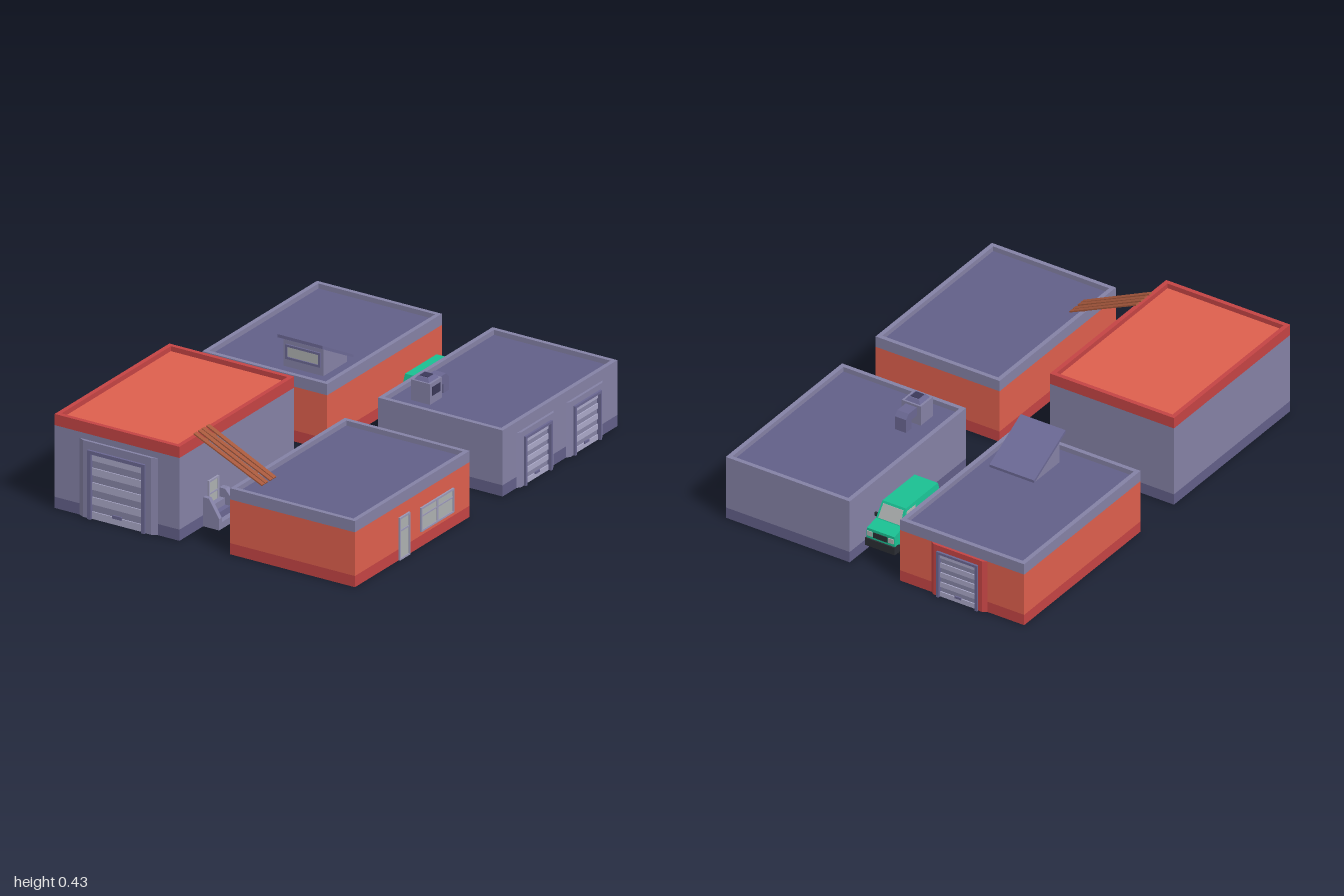
import * as THREE from 'three';

const mats = {};
const mat = (c) => (mats[c] ??= new THREE.MeshStandardMaterial({ color: c, flatShading: true }));
const WALL = 0x8481a5, DARK = 0x625f88, ORANGE = 0xdd5f4d, RED = 0xc44444, FRAME = 0x6a6792,
  SLAT = 0xaaa8c8, GLASS = 0xadb0b0, PLANK = 0xa6583c, GREEN = 0x1abf92, BLACK = 0x2b2d33;

function add(parent, name, geo, color, x = 0, y = 0, z = 0) {
  const m = new THREE.Mesh(geo, mat(color));
  m.name = name;
  m.position.set(x, y, z);
  parent.add(m);
  return m;
}
// box given by its min and max corners
function box(parent, name, color, x0, x1, y0, y1, z0, z1) {
  return add(parent, name, new THREE.BoxGeometry(x1 - x0, y1 - y0, z1 - z0), color,
    (x0 + x1) / 2, (y0 + y1) / 2, (z0 + z1) / 2);
}
const poly = (pts) => new THREE.Shape(pts.map((p) => new THREE.Vector2(...p)));
const extrude = (shape, depth) => new THREE.ExtrudeGeometry(shape, { depth, bevelEnabled: false });
// (z, y) profile extruded across x, centred on x = 0
function sideExtrude(pts, width) {
  return extrude(poly(pts), width).translate(0, 0, -width / 2).rotateY(-Math.PI / 2);
}
function group(parent, name, x, y, z, ry = 0) {
  const g = new THREE.Group();
  g.name = name;
  g.position.set(x, y, z);
  g.rotation.y = ry;
  parent.add(g);
  return g;
}
function rectShape(w, d, inset) {
  const r = (a, b) => [[-a, -b], [a, -b], [a, b], [-a, b]];
  const s = poly(r(w / 2, d / 2));
  s.holes.push(new THREE.Path(r(w / 2 - inset, d / 2 - inset).map((p) => new THREE.Vector2(...p))));
  return s;
}

// flat-roofed block: plinth, wall, trim band and parapet
function building(parent, name, x, z, h, wall, plinth, trim, roof) {
  const g = group(parent, name, x, 0, z), w = 0.61, d = 0.855, rim = 0.025;
  const slab = (n, c, y0, y1) => box(g, n, c, -w / 2, w / 2, y0, y1, -d / 2, d / 2);
  slab('plinth', plinth, 0, 0.05);
  slab('wall', wall, 0.05, h - 0.05);
  slab('trimBand', trim, h - 0.05, h - rim);
  add(g, 'parapet', extrude(rectShape(w, d, 0.02), rim).rotateX(-Math.PI / 2), trim, 0, h - rim, 0);
  box(g, 'roof', roof, -w / 2 + 0.02, w / 2 - 0.02, h - rim, h - rim + 0.003, -d / 2 + 0.02, d / 2 - 0.02);
}

// door surround open at the ground
const arch = (a, h, b, k) => poly([[-a, 0], [-b, 0], [-b, k], [b, k], [b, 0], [a, 0], [a, h], [-a, h]]);

// roller shutter facing +z, with a splayed surround
function garage(parent, name, x, z, ry, s, surround, frame) {
  const g = group(parent, name, x, 0, z, ry);
  const outer = extrude(arch(0.137, 0.245, 0.1, 0.22), 0.012);
  const p = outer.attributes.position;
  for (let i = 0; i < p.count; i++) {
    if (p.getZ(i) > 0.006 && Math.abs(p.getX(i)) > 0.12) p.setX(i, Math.sign(p.getX(i)) * 0.119);
  }
  outer.computeVertexNormals();
  add(g, 'surround', outer, surround);
  add(g, 'frame', extrude(arch(0.1, 0.22, 0.089, 0.209), 0.022), frame);
  box(g, 'shutter', 0x8785a6, -0.089, 0.089, 0, 0.209, 0, 0.004);
  const n = 5, step = 0.209 / (n - 0.5);
  for (let i = 0; i < n; i++) {
    box(g, 'slat', SLAT, -0.089, 0.089, i * step, i * step + step / 2, 0.003, 0.009);
  }
  box(g, 'handle', FRAME, -0.016, 0.016, 0.02, 0.03, 0.008, 0.014);
  g.scale.set(s, s, 1);
}

// glazed panel with a border and bars, facing +z
function panel(parent, name, x, y, z, ry, w, h, bars) {
  const g = group(parent, name, x, y, z, ry);
  add(g, 'frame', extrude(rectShape(w, h, 0.008), 0.008), 0x9a98b5);
  box(g, 'glass', GLASS, -w / 2 + 0.008, w / 2 - 0.008, -h / 2 + 0.008, h / 2 - 0.008, 0, 0.004);
  for (const [bx, by, bw, bh] of bars) {
    box(g, 'bar', 0x9a98b5, bx - bw / 2, bx + bw / 2, by - bh / 2, by + bh / 2, 0.002, 0.007);
  }
}
const door = (parent, name, x, z, ry) =>
  panel(parent, name, x, 0.096, z, ry, 0.076, 0.19, [[0, 0.035, 0.062, 0.007]]);

function skylight(parent) {
  const g = group(parent, 'skylight', -0.32, 0, 0);
  add(g, 'skylightBody', sideExtrude([[-0.4, 0.27], [-0.225, 0.27], [-0.225, 0.392], [-0.4, 0.3]], 0.195), WALL);
  add(g, 'skylightRoof', sideExtrude([[-0.43, 0.285], [-0.43, 0.297], [-0.2, 0.42], [-0.2, 0.406]], 0.22), 0x6b6894);
  add(g, 'skylightBorder', extrude(rectShape(0.17, 0.065, 0.01), 0.008), FRAME, 0, 0.342, -0.226);
  box(g, 'skylightGlass', GLASS, -0.075, 0.075, 0.32, 0.365, -0.227, -0.222);
}

function roofVent(parent) {
  const g = group(parent, 'roofVent', 0.255, 0, -0.265);
  box(g, 'ventBox', WALL, -0.047, 0.047, 0.27, 0.365, -0.045, 0.045);
  const cap = new THREE.CylinderGeometry(0.036, 0.052, 0.015, 4).rotateY(Math.PI / 4);
  add(g, 'ventCap', cap, FRAME, 0, 0.3725, 0);
  box(g, 'capGrille', 0x3a3858, -0.02, 0.02, 0.375, 0.382, -0.02, 0.02);
  box(g, 'sideGrille', 0x3a3858, 0.04, 0.0485, 0.308, 0.347, -0.03, 0.03);
  add(g, 'duct', sideExtrude([[-0.04, 0.315], [-0.04, 0.355], [-0.105, 0.355], [-0.125, 0.335],
    [-0.125, 0.27], [-0.085, 0.27], [-0.085, 0.315]], 0.055), FRAME);
}

function steps(parent) {
  const g = group(parent, 'sideSteps', -0.14, 0, 0);
  const cheek = (reach) => poly([[0, 0], [reach, 0], [reach, 0.05], [0.03, 0.13], [0, 0.13]]);
  add(g, 'cheek', extrude(cheek(0.102), 0.03), WALL, 0, 0, 0.65);
  add(g, 'cheek', extrude(cheek(0.08), 0.02), WALL, 0, 0, 0.78);
  for (let i = 0; i < 3; i++) {
    box(g, 'step', i % 2 ? FRAME : WALL, 0, 0.08 - i * 0.025, i * 0.03, (i + 1) * 0.03, 0.68, 0.78);
  }
}

// planks bridging the two front roofs
function plankBridge(parent) {
  const g = group(parent, 'plankBridge', 0.015, 0.353, 0.795);
  for (let i = 0; i < 4; i++) {
    const m = add(g, 'plank', new THREE.BoxGeometry(0.365, 0.006, 0.021), PLANK, 0, 0, (i - 1.5) * 0.03);
    m.rotation.set(0, (i % 2 ? 1 : -1) * 0.015, -0.434);
  }
  for (const t of [-0.12, 0.1]) {
    const m = add(g, 'crossPlank', new THREE.BoxGeometry(0.015, 0.004, 0.1), PLANK, t, -t * 0.463 - 0.005, 0);
    m.rotation.z = -0.434;
  }
}

function van(parent) {
  const g = group(parent, 'van', 0.021, 0, 0);
  // sides lean inward above the waist
  const taper = (geo) => {
    const p = geo.attributes.position;
    for (let i = 0; i < p.count; i++) p.setX(i, p.getX(i) * (1 - 0.18 * Math.max(0, (p.getY(i) - 0.115) / 0.1)));
    geo.computeVertexNormals();
    return geo;
  };
  add(g, 'body', taper(sideExtrude([[-0.885, 0.08], [-0.53, 0.08], [-0.53, 0.115], [-0.55, 0.215], [-0.785, 0.215],
    [-0.82, 0.145], [-0.885, 0.132]], 0.14)), GREEN);
  add(g, 'windscreen', taper(sideExtrude([[-0.82, 0.15], [-0.818, 0.15], [-0.79, 0.207], [-0.792, 0.207]], 0.118)
    .translate(0, 0, -0.001)), GLASS);
  add(g, 'sideWindows', taper(sideExtrude([[-0.805, 0.15], [-0.72, 0.15], [-0.72, 0.2], [-0.781, 0.2]], 0.143)), GLASS);
  box(g, 'chassis', BLACK, -0.066, 0.066, 0.04, 0.08, -0.87, -0.54);
  box(g, 'rearBumper', BLACK, -0.073, 0.073, 0.05, 0.075, -0.55, -0.526);
  box(g, 'rearPanel', 0x3a3c42, -0.07, 0.07, 0.075, 0.113, -0.54, -0.528);
  box(g, 'frontBumper', BLACK, -0.073, 0.073, 0.05, 0.085, -0.892, -0.86);
  box(g, 'grille', BLACK, -0.035, 0.035, 0.095, 0.12, -0.888, -0.88);
  for (const s of [-1, 1]) {
    box(g, 'tailLight', RED, s * 0.055 - 0.014, s * 0.055 + 0.014, 0.1, 0.112, -0.535, -0.526);
    box(g, 'headlight', GLASS, s * 0.052 - 0.013, s * 0.052 + 0.013, 0.098, 0.12, -0.889, -0.88);
    box(g, 'mirror', BLACK, s * 0.072 - 0.008, s * 0.072 + 0.008, 0.145, 0.162, -0.81, -0.802);
    for (const z of [-0.815, -0.605]) {
      const tyre = new THREE.CylinderGeometry(0.032, 0.032, 0.022, 12).rotateZ(Math.PI / 2);
      add(g, 'wheel', tyre, BLACK, s * 0.067, 0.045, z);
      const hub = new THREE.CylinderGeometry(0.016, 0.016, 0.024, 8).rotateZ(Math.PI / 2);
      add(g, 'hub', hub, 0x6a6c72, s * 0.067, 0.045, z);
    }
  }
  g.position.y = -0.005;
}

export function createModel() {
  const root = new THREE.Group();
  root.name = 'yard';
  const xl = -0.443, xr = 0.415, zf = 0.5495, zb = -0.5515, right = Math.PI / 2;
  building(root, 'tallWorkshop', xl, zf, 0.42, WALL, DARK, RED, ORANGE);
  building(root, 'office', xr, zf, 0.295, ORANGE, RED, WALL, DARK);
  building(root, 'store', xl, zb, 0.295, ORANGE, RED, WALL, DARK);
  building(root, 'doubleGarage', xr, zb, 0.295, WALL, DARK, WALL, DARK);

  garage(root, 'workshopShutter', -0.435, 0.977, 0, 1.4, WALL, FRAME);
  garage(root, 'storeShutter', -0.43, -0.979, Math.PI, 1, RED, FRAME);
  for (const z of [-0.365, -0.733]) garage(root, 'garageShutter', 0.72, z, right, 1, WALL, FRAME);

  door(root, 'officeDoor', 0.72, 0.614, right);
  panel(root, 'officeWindow', 0.72, 0.123, 0.37, right, 0.245, 0.108, [[0, 0, 0.008, 0.094], [0, 0.015, 0.23, 0.006]]);
  door(root, 'storeDoor', -0.622, -0.124, 0);
  door(root, 'workshopDoor', -0.138, 0.73, right);

  skylight(root);
  roofVent(root);
  steps(root);
  plankBridge(root);
  van(root);
  return root;
}
